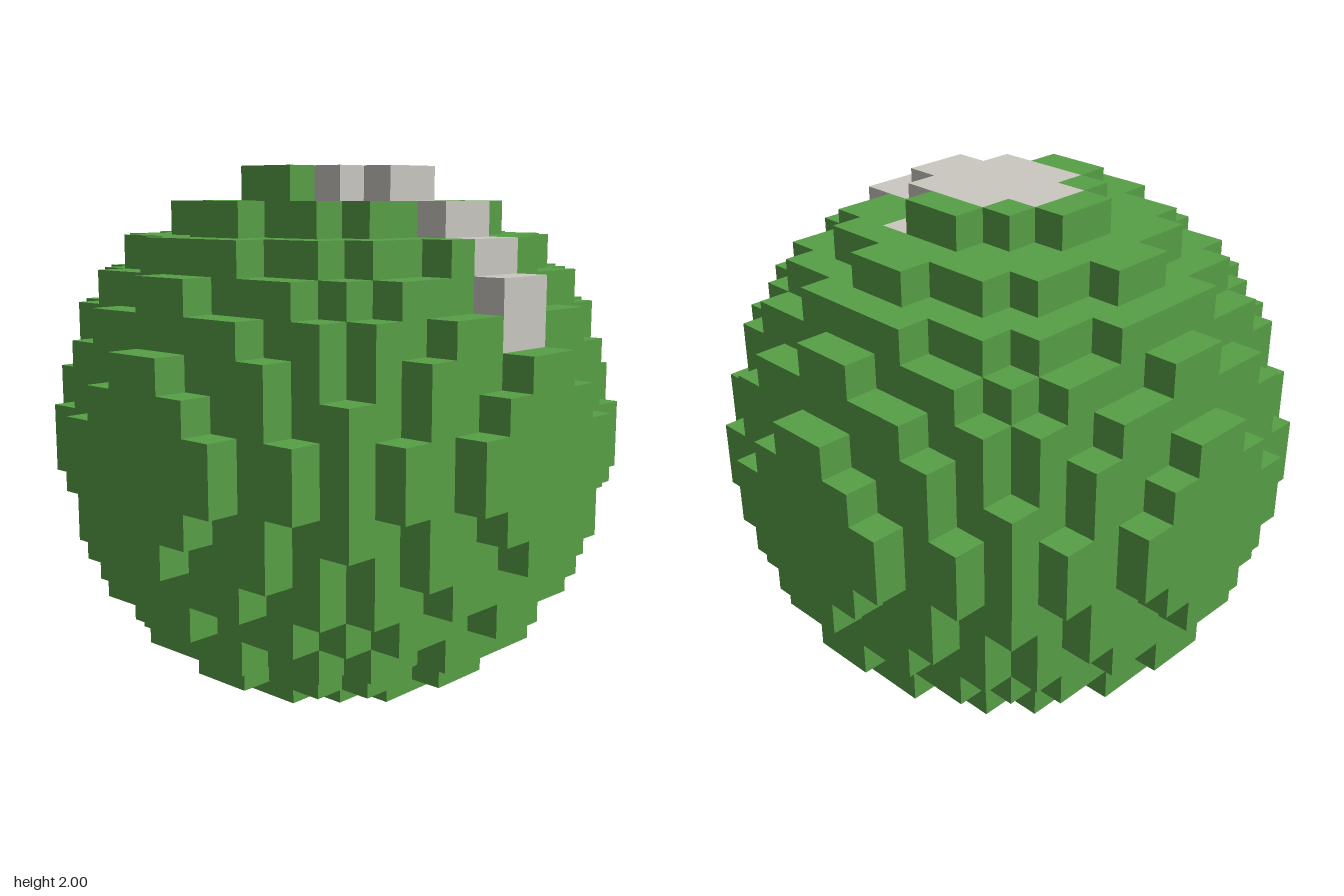
import * as THREE from 'three';
import { mergeGeometries } from 'three/addons/utils/BufferGeometryUtils.js';

const CELL = 0.125; // edge of one cube
const R = 8; // ball radius in cubes

// Cubes are addressed by their centres (..., -0.5, 0.5, 1.5, ...)
const inBall = (x, y, z) => x * x + y * y + z * z <= R * R;

// Half width of the pale marking for each layer y and row z
const MARKING = {
  7.5: { '-1.5': 1, '-0.5': 2, 0.5: 2, 1.5: 2, 2.5: 1 }, // crown patch
  6.5: { 1.5: 3, 3.5: 1, 4.5: 1 }, // side tips and first step
  5.5: { 5.5: 1 }, // steps running down the front
  4.5: { 6.5: 1 },
  3.5: { 6.5: 1 },
};
const inMarking = (x, y, z) => Math.abs(x) < (MARKING[y]?.[z] ?? 0);

const DIRECTIONS = [[1, 0, 0], [-1, 0, 0], [0, 1, 0], [0, -1, 0], [0, 0, 1], [0, 0, -1]];

// One square for each direction, placed on the side of a cube
const squares = DIRECTIONS.map(([dx, dy, dz]) => {
  const g = new THREE.PlaneGeometry(CELL, CELL).translate(0, 0, CELL / 2);
  if (dy) g.rotateX(-dy * Math.PI / 2);
  else if (dx) g.rotateY(dx * Math.PI / 2);
  else if (dz < 0) g.rotateY(Math.PI);
  return g;
});

// Outer faces of all ball cubes that pass the test
function cubeSkin(test) {
  const faces = [];
  for (let x = -R + 0.5; x < R; x++)
    for (let y = -R + 0.5; y < R; y++)
      for (let z = -R + 0.5; z < R; z++) {
        if (!inBall(x, y, z) || !test(x, y, z)) continue;
        DIRECTIONS.forEach(([dx, dy, dz], i) => {
          if (inBall(x + dx, y + dy, z + dz)) return;
          faces.push(squares[i].clone().translate(x * CELL, y * CELL + 1, z * CELL));
        });
      }
  return mergeGeometries(faces);
}

export function createModel() {
  const model = new THREE.Group();
  model.name = 'blockBall';

  const green = new THREE.MeshStandardMaterial({ color: 0x57a046 });
  green.name = 'leafGreen';
  const grey = new THREE.MeshStandardMaterial({ color: 0xcac8c1 });
  grey.name = 'paleGrey';

  const ball = new THREE.Mesh(cubeSkin((x, y, z) => !inMarking(x, y, z)), green);
  ball.name = 'ball';
  const marking = new THREE.Mesh(cubeSkin(inMarking), grey);
  marking.name = 'crownMarking';

  model.add(ball, marking);
  return model;
}
